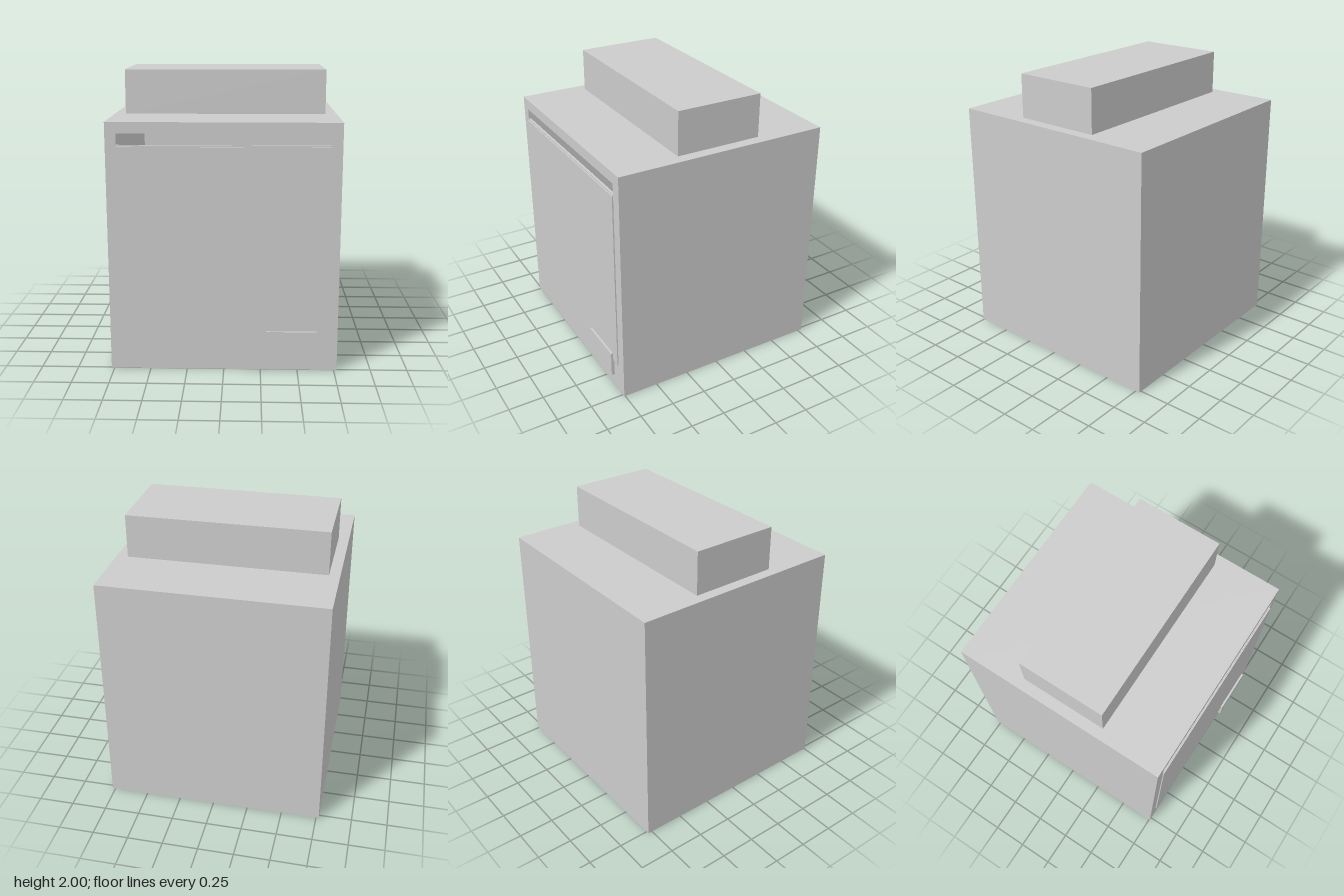
import * as THREE from 'three';

const material = new THREE.MeshStandardMaterial({ color: 0xcccccc, flatShading: true });

export function createModel() {
  const model = new THREE.Group();

  // Box given by its lower and upper corners
  const box = (name, [x0, y0, z0], [x1, y1, z1]) => {
    const mesh = new THREE.Mesh(new THREE.BoxGeometry(x1 - x0, y1 - y0, z1 - z0), material);
    mesh.position.set((x0 + x1) / 2, (y0 + y1) / 2, (z0 + z1) / 2);
    mesh.name = name;
    model.add(mesh);
  };
  const rect = (Type, x0, y0, x1, y1) => new Type([
    new THREE.Vector2(x0, y0), new THREE.Vector2(x1, y0),
    new THREE.Vector2(x1, y1), new THREE.Vector2(x0, y1),
  ]);

  const back = -0.78, front = 0.757, wall = -0.705;

  // Hollow cabinet: back wall, frame round the cavity, front face with a slot
  const cabinetPart = (name, hole, z0, z1) => {
    const shape = rect(THREE.Shape, -0.77, 0, 0.77, 1.695);
    if (hole) shape.holes.push(rect(THREE.Path, ...hole));
    const geometry = new THREE.ExtrudeGeometry(shape, { depth: z1 - z0, bevelEnabled: false });
    const mesh = new THREE.Mesh(geometry, material);
    mesh.position.z = z0;
    mesh.name = name;
    model.add(mesh);
  };
  cabinetPart('cabinetBack', null, back, wall);
  cabinetPart('cabinetFrame', [-0.697, 0.075, 0.693, 1.62], wall, 0.74);
  cabinetPart('cabinetFrontWithSlot', [-0.697, 1.545, 0.693, 1.62], 0.74, front);

  // Thin door skin below the slot, and the small plate at its lower corner
  box('frontPanel', [-0.697, 0.22, front - 0.005], [0.693, 1.535, 0.765]);
  box('cornerPlate', [0.29, 0.095, front - 0.005], [0.628, 0.28, 0.78]);

  // Raised block on top
  box('topBlock', [-0.695, 1.69, -0.32], [0.691, 2, 0.295]);

  return model;
}
